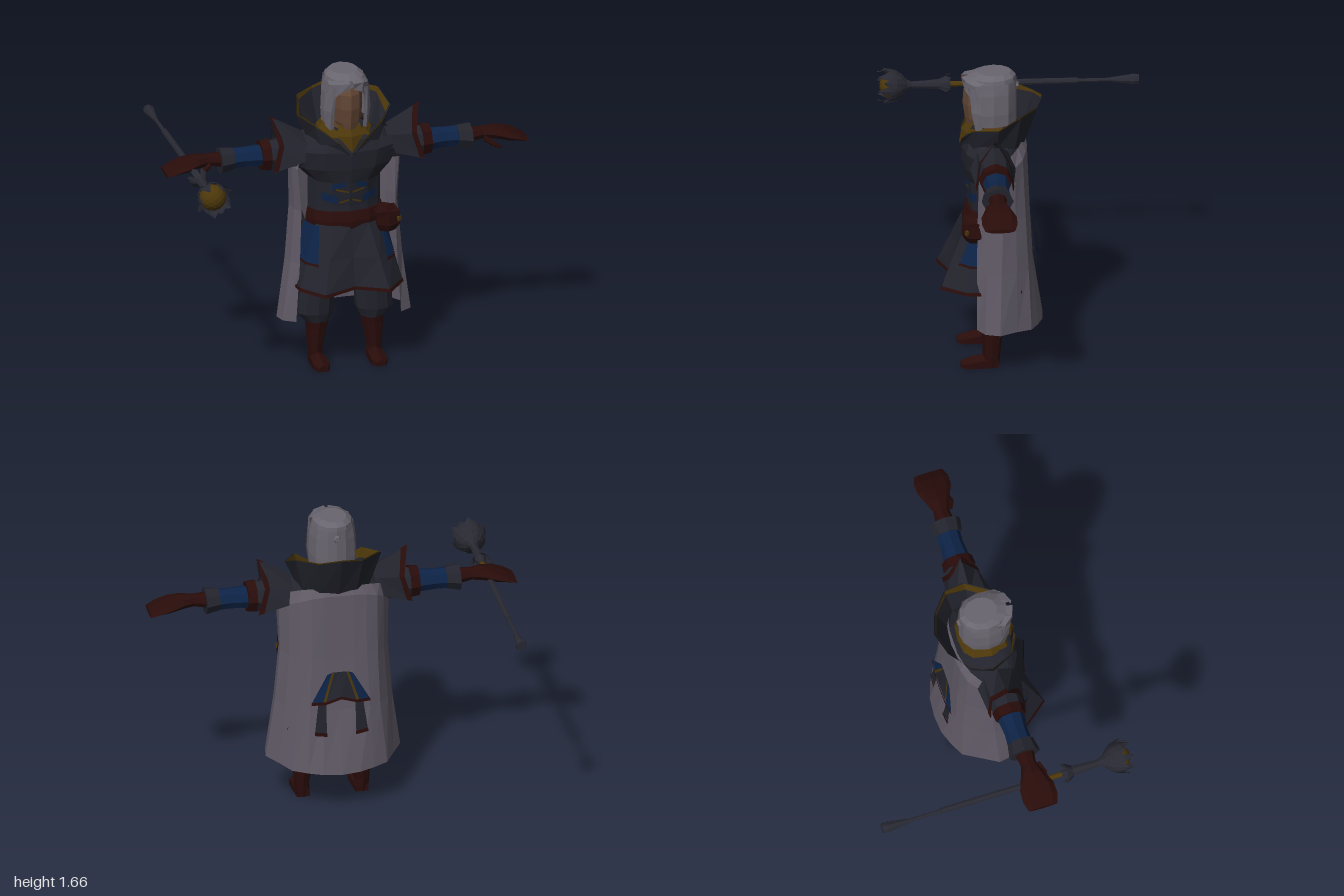
import * as THREE from 'three';

const mat = (name, color) => {
  const m = new THREE.MeshStandardMaterial({ color, flatShading: true, side: THREE.DoubleSide });
  m.name = name;
  return m;
};

export function createModel() {
  const slate = mat('slate cloth', 0x22232c), grey = mat('cape grey', 0x605a66), silver = mat('hair silver', 0x69656f),
    maroon = mat('maroon leather', 0x280c0a), blue = mat('blue cloth', 0x0d2346), gold = mat('old gold', 0x4c370a),
    skin = mat('skin', 0x614534), iron = mat('staff iron', 0x272831);
  const model = new THREE.Group();
  model.name = 'robedMage';

  // Joins cross-sections (listed along their axis) into a flat-shaded skin
  function loft(name, rings, material, open = false, parent = model) {
    const pos = [], n = rings[0].length;
    const tri = (...p) => p.forEach(q => pos.push(...q));
    for (let i = 0; i < rings.length - 1; i++) {
      for (let j = 0; j < (open ? n - 1 : n); j++) {
        const k = (j + 1) % n, a = rings[i], b = rings[i + 1];
        tri(a[j], a[k], b[k]);
        tri(a[j], b[k], b[j]);
      }
    }
    if (!open) {
      const a = rings[0], b = rings[rings.length - 1];
      for (let j = 1; j < n - 1; j++) { tri(a[0], a[j + 1], a[j]); tri(b[0], b[j], b[j + 1]); }
    }
    const g = new THREE.BufferGeometry();
    g.setAttribute('position', new THREE.Float32BufferAttribute(pos, 3));
    g.computeVertexNormals();
    const mesh = new THREE.Mesh(g, material);
    mesh.name = name;
    parent.add(mesh);
    return mesh;
  }
  const flip = ([x, y, z]) => [-x, y, z];
  // Same part on the left (+x) and mirrored on the right
  const pair = (name, rings, material, open) => {
    loft(name + 'Left', rings, material, open);
    loft(name + 'Right', rings.map(r => r.map(flip).reverse()), material, open);
  };
  // Half outline from the +x edge to the centre line, completed to -x
  const sym = half => [...half, ...half.slice(0, -1).reverse().map(flip)];
  const arc = (n, f) => Array.from({ length: n }, (_, i) => f(Math.cos(i / n * 2 * Math.PI), Math.sin(i / n * 2 * Math.PI)));
  const ringY = (y, cx, cz, rx, rz, n = 10) => arc(n, (c, s) => [cx + rx * s, y, cz + rz * c]);
  const ringX = (x, cy, cz, ry, rz, n = 8) => arc(n, (c, s) => [x, cy + ry * c, cz + rz * s]);
  const ringZ = (z, cx, cy, rx, ry, n = 8) => arc(n, (c, s) => [cx + rx * c, cy + ry * s, z]);
  const lerp = (a, b, t) => a.map((v, i) => v + (b[i] - v) * t);

  // Boots and baggy trousers
  pair('bootShaft', [ringY(0, .16, .155, .04, .04, 8), ringY(.07, .165, .155, .042, .047, 8), ringY(.2, .155, .15, .06, .058, 8),
    ringY(.27, .153, .15, .07, .066, 8)], maroon);
  const footRing = (z, w, h) => [[.16 + w, 0, z], [.16 + w, h * .6, z], [.16, h, z], [.16 - w, h * .6, z], [.16 - w, 0, z]];
  pair('bootFoot', [footRing(.12, .035, .06), footRing(.2, .042, .07), footRing(.28, .045, .05), footRing(.32, .025, .035)], maroon);
  pair('trouserLeg', [ringY(.24, .155, .145, .07, .07), ringY(.29, .165, .145, .104, .085), ringY(.42, .155, .145, .102, .088),
    ringY(.7, .11, .145, .1, .09)], slate);

  // Tunic body with blue and gold inlays
  const torso = [[.8, .2, .13], [.92, .2, .13], [1.08, .2, .145], [1.2, .2, .15]];
  loft('tunic', torso.map(([y, rx, rz]) => ringY(y, 0, .14, rx, rz, 12)), slate);
  const inlay = (name, y0, y1, x0, x1, m, slant) => {
    const row = y => [x0, (x0 + x1) / 2, x1].map((x, i) =>
      [x, y + slant * i, .146 + (.131 + (y - .92) * .09) * Math.sqrt(1 - (x / .2) ** 2)]);
    pair(name, [row(y0), row(y1)], m, true);
  };
  inlay('chestInlay', 1.035, 1.065, .03, .1, blue, -.006);
  inlay('waistInlay', .935, .98, .07, .15, blue, .012);
  inlay('chestBraid', 1.0, 1.01, .01, .08, gold, .008);
  inlay('waistBraid', .955, .965, .01, .06, gold, -.008);

  // Mantle over chest and shoulders
  loft('mantle', [ringY(1.06, 0, .15, .19, .14, 12), ringY(1.14, 0, .15, .27, .155, 12), ringY(1.24, 0, .15, .3, .16, 12),
    ringY(1.3, 0, .145, .21, .145, 12), ringY(1.34, 0, .13, .12, .11, 12)], slate);

  // Belt, pouch and buckle
  loft('belt', [ringY(.79, 0, .15, .215, .15, 12), ringY(.84, 0, .15, .215, .152, 12), ringY(.89, 0, .145, .205, .14, 12)], maroon);
  const box = (name, m, w, h, d, x, y, z, rot = 0) => {
    const b = new THREE.Mesh(new THREE.BoxGeometry(w, h, d), m);
    b.name = name;
    b.position.set(x, y, z);
    b.rotation.y = rot;
    model.add(b);
  };
  loft('pouch', [ringY(.76, .205, .25, .05, .045, 6), ringY(.8, .21, .25, .075, .07, 6), ringY(.86, .205, .25, .07, .065, 6),
    ringY(.9, .19, .25, .04, .04, 6)], maroon);
  box('pouchFlap', maroon, .13, .03, .12, .2, .865, .25);
  box('pouchClasp', gold, .018, .025, .02, .265, .83, .29, .6);

  // Flared skirt with pointed front corners; columns run from side to front
  const skirtTop = [[.2, .82, .02], [.215, .82, .14], [.18, .82, .23], [.1, .82, .285], [0, .82, .295]];
  const skirtLow = [[.27, .47, .0], [.3, .47, .15], [.285, .47, .3], [.18, .465, .43], [0, .48, .375]];
  const skirtRow = (t, k = 1) => skirtTop.map((p, i) => {
    const [x, y, z] = lerp(p, skirtLow[i], t);
    return [x * k, y, .15 + (z - .15) * k];
  });
  const front = half => sym(half).reverse();
  loft('skirt', [front(skirtRow(1)), front(skirtRow(.5)), front(skirtRow(0))], slate, true);
  loft('skirtHem', [front(skirtRow(1, 1.012)), front(skirtRow(.95, 1.012))], maroon, true);
  const hip = (name, t0, t1, f0, f1, k, m) => {
    const row = (t, f) => { const r = skirtRow(t, k); return [lerp(r[2], r[3], f), r[2], r[1]]; };
    pair(name, [row(t1, f1), row(t0, f0)], m, true);
  };
  hip('hipPanel', .02, .56, .25, .55, 1.02, blue);
  hip('hipPanelTrim', .56, .595, .55, .6, 1.025, maroon);

  // Cape wrapping the back and sides, tucked in under the collar
  const cape = [
    [[.29, .27, .24], [.355, .27, .2], [.368, .265, .12], [.31, .26, .025], [.26, .25, -.055], [.18, .245, -.095], [.1, .24, -.122], [0, .235, -.13]],
    [[.27, .6, .24], [.31, .6, .19], [.32, .6, .11], [.28, .6, .025], [.225, .6, -.04], [.165, .6, -.065], [.09, .6, -.072], [0, .6, -.073]],
    [[.26, .9, .235], [.285, .9, .18], [.295, .9, .1], [.26, .9, .03], [.215, .9, -.025], [.15, .9, -.048], [.08, .9, -.055], [0, .9, -.055]],
    [[.28, 1.14, .23], [.3, 1.15, .18], [.3, 1.17, .1], [.26, 1.2, .035], [.215, 1.23, -.01], [.15, 1.25, -.03], [.08, 1.26, -.04], [0, 1.26, -.04]],
    [[.27, 1.17, .22], [.28, 1.19, .17], [.275, 1.24, .1], [.24, 1.27, .05], [.19, 1.29, .015], [.13, 1.3, -.008], [.07, 1.3, -.02], [0, 1.3, -.02]],
  ].map(sym);
  loft('cape', cape, grey, true);

  // Split back flap and two tails lying over the cape
  const flap = [[[.09, .655, -.094], [0, .685, -.1]], [[.04, .82, -.066], [0, .82, -.066]]].map(sym);
  loft('backFlap', flap, slate, true);
  const strip = (name, a, b, c, d, m) => pair(name, [[a, b], [c, d]], m, true);
  strip('backFlapSide', [.16, .655, -.085], [.09, .655, -.094], [.07, .81, -.067], [.04, .82, -.066], blue);
  strip('backFlapEdge', [.1, .655, -.096], [.085, .655, -.097], [.046, .82, -.07], [.034, .82, -.07], gold);
  strip('backFlapHem', [.163, .645, -.089], [.088, .645, -.099], [.158, .662, -.088], [.088, .662, -.098], maroon);
  strip('backFlapInnerHem', [.088, .645, -.099], [0, .675, -.105], [.088, .66, -.097], [0, .69, -.103], maroon);
  strip('backTail', [.145, .48, -.1], [.08, .47, -.105], [.12, .67, -.08], [.08, .67, -.08], slate);
  strip('backTailHem', [.147, .47, -.104], [.078, .46, -.109], [.145, .49, -.102], [.078, .48, -.107], maroon);

  // Arms: sleeve, band, blue forearm, flared cuff
  pair('upperSleeve', [ringX(.22, 1.22, .15, .09, .09), ringX(.45, 1.21, .15, .082, .085)], slate);
  pair('sleeveBand', [ringX(.42, 1.215, .15, .092, .09), ringX(.47, 1.215, .15, .085, .085)], maroon);
  pair('forearm', [ringX(.45, 1.215, .15, .062, .075), ringX(.56, 1.215, .15, .056, .063), ringX(.64, 1.215, .15, .058, .068)], blue);
  pair('cuff', [ringX(.62, 1.215, .155, .06, .072), ringX(.695, 1.21, .155, .072, .086)], slate);

  // Gloves with a flat mitten hand and thumb
  pair('glove', [ringX(.67, 1.215, .155, .045, .055), ringX(.76, 1.222, .155, .033, .042), ringX(.82, 1.222, .157, .036, .065),
    ringX(.89, 1.21, .16, .032, .094), ringX(.95, 1.195, .16, .022, .096), ringX(1, 1.175, .16, .012, .08)], maroon);
  pair('thumb', [ringX(.76, 1.205, .2, .02, .022, 6), ringX(.81, 1.175, .225, .017, .02, 6), ringX(.855, 1.15, .225, .006, .01, 6)], maroon);

  // Peaked shoulder guards with a leather rim
  const padOuter = [[.42, 1.14, .055], [.38, 1.28, .075], [.41, 1.43, .15], [.38, 1.28, .225], [.42, 1.14, .245]];
  const padInner = [[.25, 1.2, .03], [.235, 1.29, .07], [.23, 1.33, .15], [.235, 1.29, .235], [.25, 1.2, .275]];
  pair('shoulderGuard', [padInner, padOuter], slate, true);
  const padRim = k => padInner.map((p, i) => lerp(p, padOuter[i], k)).map(([x, y, z]) => [x, y + .004, .15 + (z - .15) * 1.04]);
  pair('shoulderRim', [padRim(.82), padRim(1.01)], maroon, true);

  // Tall collar open at the front, with a gold lining that widens toward the chest
  const collarLow = sym([[0, 1.22, .315], [.16, 1.27, .25], [.205, 1.29, .13], [.18, 1.28, .03], [.1, 1.27, -.02], [0, 1.26, -.03]]);
  const collarTop = sym([[.07, 1.3, .31], [.19, 1.39, .255], [.265, 1.42, .12], [.23, 1.48, .0], [.12, 1.485, -.09], [0, 1.51, -.13]]);
  loft('collar', [collarLow, collarTop], slate, true);
  const liningWidth = sym([[.6], [.5], [.35], [.15], [.06], [.06]]);
  const lining = d => collarTop.map((p, i) => lerp(p, collarLow[i], d * Math.abs(liningWidth[i][0])))
    .map(([x, y, z]) => [x * .97, y + .004, .1 + (z - .1) * .97]);
  loft('collarLining', [lining(1), lining(0)], gold, true);

  // Neckline: dark floor inside the collar, gold band and chest point
  const throat = sym([[0, 1.25, .305], [.115, 1.315, .245], [.15, 1.33, .15], [.13, 1.33, .05], [.08, 1.32, .01], [0, 1.32, 0]]);
  const throatIn = sym([[0, 1.32, .28], [.085, 1.36, .23], [.115, 1.37, .15], [.1, 1.37, .065], [.06, 1.37, .035], [0, 1.37, .025]]);
  loft('collarFloor', [collarLow, throat], slate, true);
  loft('throatBand', [throat, throatIn], gold, true);
  loft('chestPoint', [[[-.002, 1.245, .316], [0, 1.245, .32], [.002, 1.245, .316]], [[-.07, 1.33, .28], [0, 1.33, .305], [.07, 1.33, .28]],
    [[-.06, 1.385, .24], [0, 1.375, .27], [.06, 1.385, .24]]], gold, true);

  // Head
  loft('neck', [ringY(1.28, 0, .13, .07, .07, 8), ringY(1.42, 0, .14, .065, .07, 8)], skin);
  loft('face', [ringY(1.36, 0, .21, .05, .07), ringY(1.4, 0, .18, .078, .108), ringY(1.48, 0, .17, .088, .13),
    ringY(1.56, 0, .17, .086, .125), ringY(1.63, 0, .16, .07, .1)], skin);

  // Hair: crown, side curtains, parted fringe and a small knot behind
  const hairHalf = (y, k, zf) => sym([[.085 * k, y, zf], [.12 * k, y, zf - .04], [.128 * k, y, .14], [.105 * k, y, .06], [.05 * k, y, .02], [0, y, .01]]);
  loft('hairCurtain', [hairHalf(1.38, .98, .24), hairHalf(1.45, 1.02, .255), hairHalf(1.56, .98, .265), hairHalf(1.62, .9, .28)], silver, true);
  loft('hairCrown', [ringY(1.6, 0, .145, .115, .135, 12), ringY(1.64, 0, .145, .105, .13, 12), ringY(1.662, 0, .13, .075, .09, 12)], silver);
  pair('fringe', [[[.008, 1.6, .302], [.06, 1.58, .292], [.095, 1.53, .255]], [[.012, 1.635, .308], [.07, 1.63, .285], [.11, 1.61, .23]],
    [[0, 1.655, .2], [.05, 1.655, .2], [.09, 1.645, .16]]], silver, true);
  pair('sideLock', [[[.08, 1.36, .235], [.1, 1.35, .235], [.12, 1.37, .2]], [[.082, 1.46, .255], [.1, 1.46, .258], [.13, 1.46, .21]],
    [[.075, 1.6, .275], [.095, 1.6, .27], [.118, 1.6, .21]]], silver, true);
  loft('hairKnot', [ringZ(.0, 0, 1.575, .014, .016, 6), ringZ(.012, 0, 1.575, .02, .024, 6), ringZ(.04, 0, 1.575, .02, .024, 6)], silver);

  // Staff held through the right hand, lying along z
  const staff = new THREE.Group();
  staff.name = 'staff';
  staff.position.set(-.857, 1.194, 0);
  model.add(staff);
  const rod = (name, m, list) => loft(name, list.map(([z, r]) => ringZ(z, 0, 0, r, r)), m, false, staff);
  rod('staffPommel', iron, [[-.7, .027], [-.67, .031], [-.6, .02], [-.55, .014]]);
  rod('staffThinShaft', iron, [[-.56, .011], [-.36, .011]]);
  rod('staffShaft', iron, [[-.37, .017], [-.03, .018], [.26, .014]]);
  rod('staffGrip', gold, [[.24, .015], [.32, .015]]);
  rod('staffNeck', iron, [[.31, .018], [.37, .03], [.44, .024], [.52, .02], [.56, .04], [.59, .05]]);
  const orb = new THREE.Mesh(new THREE.IcosahedronGeometry(.072, 2), gold);
  orb.name = 'staffOrb';
  orb.position.z = .62;
  staff.add(orb);
  // Petal rows: [z, distance from axis, half width]
  const petals = (name, count, rows, turn = 0) => {
    for (let i = 0; i < count; i++) {
      const p = loft(name, rows.map(([z, r, w]) => [[r * .94, -w, z], [r, 0, z], [r * .94, w, z]]), iron, true, staff);
      p.rotation.z = (i + turn) / count * Math.PI * 2;
    }
  };
  petals('staffPetal', 6, [[.54, .025, .014], [.575, .062, .03], [.61, .08, .032], [.65, .085, .024], [.7, .078, .002]]);
  petals('staffOuterLeaf', 6, [[.56, .05, .022], [.6, .082, .028], [.635, .094, .024], [.67, .106, .002]], .5);
  petals('staffLeaf', 6, [[.31, .056, .002], [.335, .052, .018], [.375, .025, .016]]);
  return model;
}
